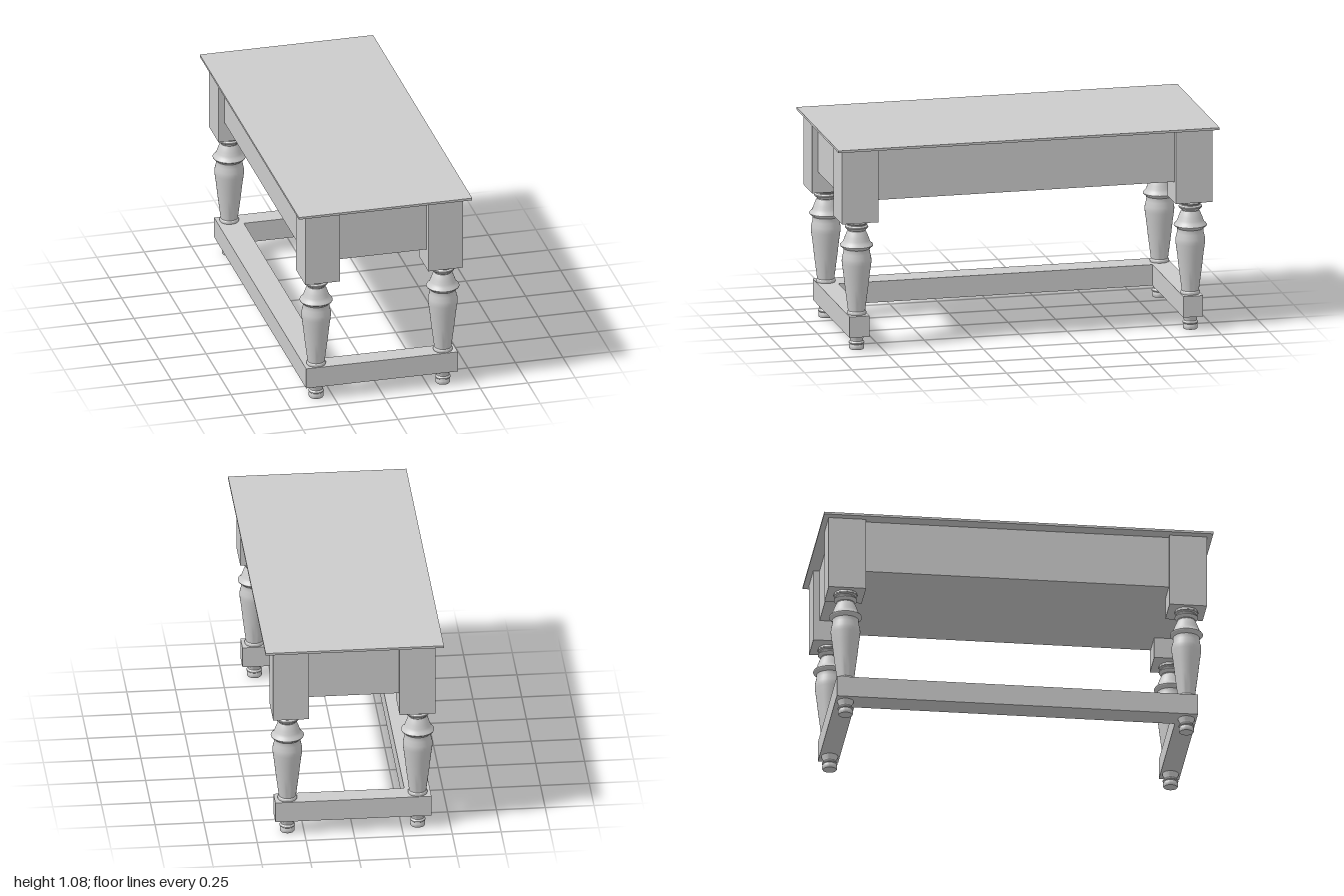
import * as THREE from 'three';
import { toCreasedNormals } from 'three/addons/utils/BufferGeometryUtils.js';

const material = new THREE.MeshStandardMaterial({ color: 0xcccccc });

// Box given by its limits on each axis
function box(name, [x0, x1], [y0, y1], [z0, z1]) {
  const mesh = new THREE.Mesh(new THREE.BoxGeometry(x1 - x0, y1 - y0, z1 - z0), material);
  mesh.name = name;
  mesh.position.set((x0 + x1) / 2, (y0 + y1) / 2, (z0 + z1) / 2);
  return mesh;
}

// Turned part from [radius, height] pairs
function turned(profile) {
  const points = profile.map(([r, y]) => new THREE.Vector2(r, y));
  return toCreasedNormals(new THREE.LatheGeometry(points, 32), 0.6);
}

const footGeometry = turned([
  [0, 0], [0.035, 0], [0.038, 0.005], [0.038, 0.02], [0.035, 0.025], [0.035, 0.028],
  [0.04, 0.032], [0.04, 0.036], [0.033, 0.045], [0.034, 0.055], [0.042, 0.07], [0.043, 0.09],
]);

const legGeometry = turned([
  [0.046, 0.18], [0.049, 0.187], [0.05, 0.193], [0.049, 0.198], [0.044, 0.203],
  [0.05, 0.25], [0.059, 0.32], [0.068, 0.4], [0.075, 0.45], [0.076, 0.465], [0.075, 0.48],
  [0.069, 0.505], [0.067, 0.52], [0.068, 0.53], [0.074, 0.537], [0.083, 0.543], [0.085, 0.548],
  [0.082, 0.553], [0.072, 0.562], [0.066, 0.575], [0.06, 0.592], [0.052, 0.612], [0.045, 0.625],
  [0.046, 0.629], [0.056, 0.637], [0.06, 0.643], [0.059, 0.648], [0.051, 0.655], [0.051, 0.66],
  [0.059, 0.665], [0.061, 0.67], [0.058, 0.677], [0.058, 0.69],
]);

export function createModel() {
  const table = new THREE.Group();
  table.name = 'table';

  // Thin top and the closed apron case beneath it
  table.add(box('tableTop', [-0.457, 0.457], [1.068, 1.08], [-1, 1]));
  table.add(box('apron', [-0.385, 0.385], [0.79, 1.068], [-0.94, 0.94]));

  // Four legs: square block, turned shaft, turned foot
  for (const sx of [-1, 1]) {
    for (const sz of [-1, 1]) {
      const leg = new THREE.Group();
      leg.name = `${sz > 0 ? 'front' : 'back'}${sx > 0 ? 'Left' : 'Right'}Leg`;
      const block = box('legBlock', [-0.0915, 0.0915], [0.68, 1.068], [-0.096, 0.096]);
      block.position.x = sx * 0.324;
      block.position.z = sz * 0.876;
      leg.add(block);
      for (const [name, geometry] of [['legShaft', legGeometry], ['foot', footGeometry]]) {
        const part = new THREE.Mesh(geometry, material);
        part.name = name;
        part.position.set(sx * 0.334, 0, sz * 0.876);
        leg.add(part);
      }
      table.add(leg);
    }
  }

  // Stretchers: one at each end, one long rail on the right side only
  const railY = [0.075, 0.185];
  table.add(box('frontStretcher', [-0.4, 0.4], railY, [0.824, 0.928]));
  table.add(box('backStretcher', [-0.4, 0.4], railY, [-0.928, -0.824]));
  table.add(box('longStretcher', [-0.4, -0.27], railY, [-0.824, 0.824]));

  return table;
}
